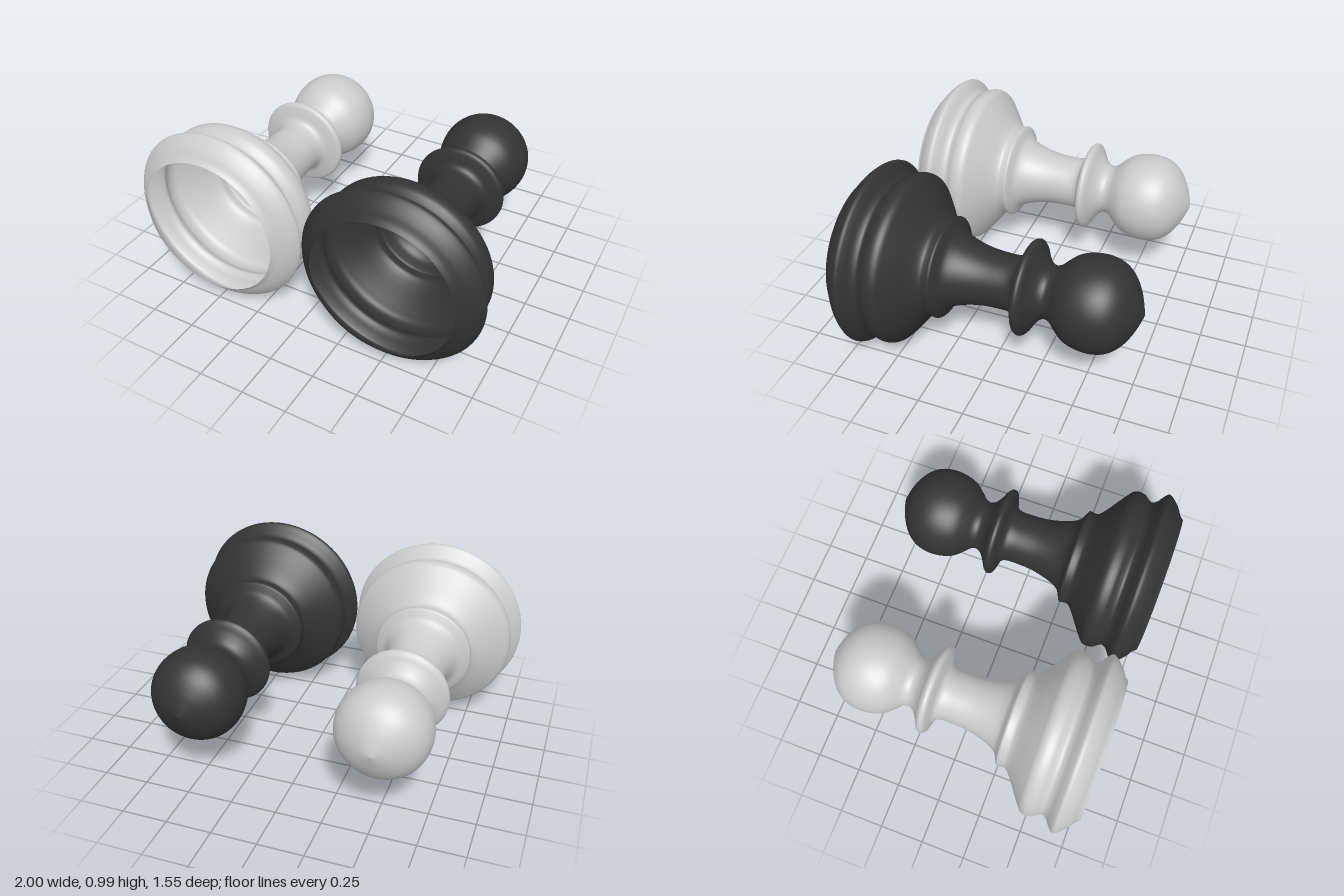
import * as THREE from 'three';

// Pawn outline as [radius, distance along axis], from head tip to open base
const PROFILE = [
  // head
  [0, -0.777], [0.035, -0.766], [0.068, -0.754], [0.122, -0.73], [0.19, -0.683], [0.235, -0.62],
  [0.252, -0.54], [0.242, -0.454], [0.22, -0.4], [0.18, -0.352], [0.15, -0.32], [0.14, -0.287],
  // collar
  [0.155, -0.255], [0.2, -0.22], [0.238, -0.199], [0.253, -0.18], [0.246, -0.16], [0.21, -0.146], [0.167, -0.131],
  // stem
  [0.15, -0.105], [0.147, -0.012], [0.154, 0.07], [0.174, 0.155], [0.195, 0.21], [0.217, 0.24],
  // shoulder ring
  [0.25, 0.258], [0.272, 0.272], [0.27, 0.295], [0.27, 0.318], [0.283, 0.337],
  // bell
  [0.312, 0.362], [0.37, 0.404], [0.42, 0.442], [0.452, 0.47], [0.461, 0.5], [0.454, 0.537], [0.438, 0.56],
  // base rim
  [0.426, 0.585], [0.44, 0.61], [0.475, 0.637], [0.497, 0.662], [0.48, 0.695], [0.442, 0.733], [0.406, 0.757], [0.388, 0.777],
];

function makeGeometry() {
  const curve = new THREE.CatmullRomCurve3(PROFILE.map(([r, z]) => new THREE.Vector3(r, z, 0)));
  const outline = curve.getPoints(176).map((p) => new THREE.Vector2(Math.max(0, p.x), p.y));
  // the lathe axis is laid down along z, open base forward
  return new THREE.LatheGeometry(outline, 96).rotateX(Math.PI / 2);
}

export function createModel() {
  const group = new THREE.Group();
  group.name = 'chessPawns';
  const geometry = makeGeometry();
  const pawns = [['lightPawn', -0.503, 0xcccccc], ['darkPawn', 0.503, 0x333333]];
  for (const [name, x, color] of pawns) {
    // hollow thin shell
    const pawn = new THREE.Mesh(geometry, new THREE.MeshStandardMaterial({ color, side: THREE.DoubleSide }));
    pawn.name = name;
    pawn.position.set(x, 0.497, 0);
    group.add(pawn);
  }
  return group;
}
